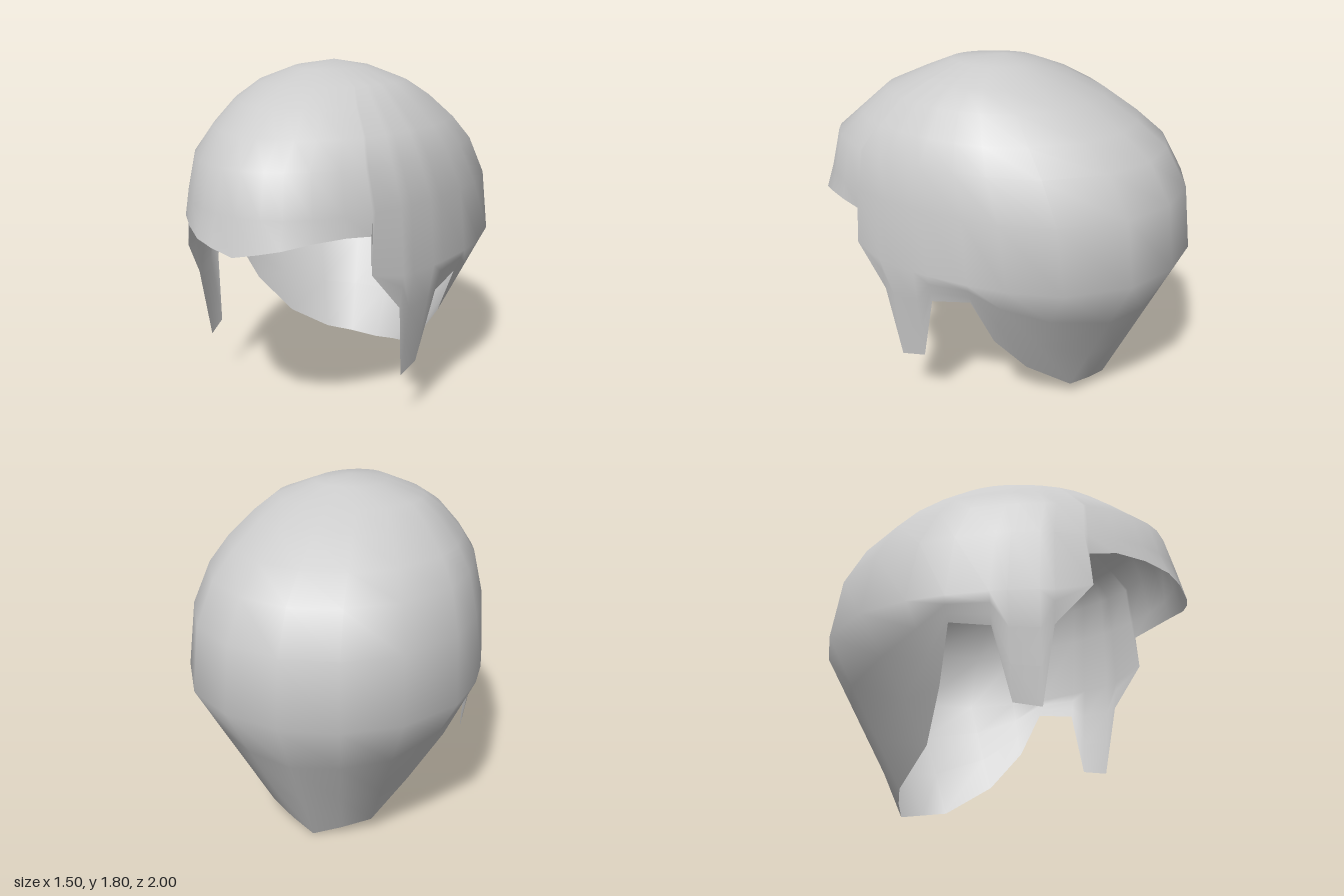
import * as THREE from 'three';
import { mergeVertices } from 'three/addons/utils/BufferGeometryUtils.js';

// Horizontal rings of the dome: height, front z, back z, half width, z of the widest point
const RINGS = [
  [1.77, 0.28, -0.17, 0.19, 0],
  [1.70, 0.45, -0.34, 0.38, -0.02],
  [1.62, 0.63, -0.52, 0.48, -0.05],
  [1.50, 0.77, -0.70, 0.59, -0.10],
  [1.38, 0.91, -0.85, 0.665, -0.15],
  [1.18, 0.96, -0.96, 0.725, -0.23],
  [0.85, 1.00, -1.00, 0.75, -0.28],
];

// Hem of the left half, front to back: x, y, z, angle of its column on the dome
const HEM = [
  [0, 1.005, 1.0, 0],
  [0.12, 1.03, 0.985, 9.5],
  [0.22, 1.05, 0.95, 17],
  [0.33, 1.075, 0.86, 26],
  [0.44, 1.085, 0.74, 36],
  [0.505, 1.07, 0.62, 44.5],
  [0.515, 0.89, 0.635, 45.5], // temple
  [0.585, 0.68, 0.46, 54],
  [0.57, 0.29, 0.39, 57.5], // sideburn tip
  [0.595, 0.32, 0.255, 65],
  [0.66, 0.69, 0.175, 69],
  [0.685, 0.73, -0.035, 79], // above the ear
  [0.575, 0.46, -0.12, 88],
  [0.42, 0.23, -0.25, 108],
  [0.28, 0.07, -0.46, 135],
  [0.14, 0.035, -0.535, 158],
  [0, 0, -0.59, 180], // nape
];

// Point of an elliptical ring, with different front and back radii
function ringPoint([y, front, back, width, mid], degrees) {
  const a = THREE.MathUtils.degToRad(degrees);
  const c = Math.cos(a);
  const depth = c > 0 ? front - mid : mid - back;
  return new THREE.Vector3(width * Math.sin(a), y, mid + depth * c);
}

// One strand of points from the crown down to the hem
function column([x, y, z, degrees]) {
  const hem = new THREE.Vector3(x, y, z);
  const points = [new THREE.Vector3(0, 1.8, 0)];
  for (const ring of RINGS) {
    points.push(ring[0] > y ? ringPoint(ring, degrees) : hem.clone());
  }
  const base = points[points.length - 1];
  for (const t of [1 / 3, 2 / 3, 1]) points.push(base.clone().lerp(hem, t));
  return points;
}

function shellGeometry() {
  const left = HEM.map(column);
  const right = left.slice(1, -1).reverse()
    .map((col) => col.map((p) => new THREE.Vector3(-p.x, p.y, p.z)));
  const columns = [...left, ...right];
  const rows = columns[0].length;
  const positions = columns.flat().flatMap((p) => [p.x, p.y, p.z]);
  const index = [];
  columns.forEach((_, i) => {
    const a = i * rows;
    const b = ((i + 1) % columns.length) * rows;
    for (let j = 0; j < rows - 1; j++) {
      index.push(a + j, a + j + 1, b + j + 1);
      if (j > 0) index.push(a + j, b + j + 1, b + j);
    }
  });
  const geometry = new THREE.BufferGeometry();
  geometry.setAttribute('position', new THREE.Float32BufferAttribute(positions, 3));
  geometry.setIndex(index);
  const welded = mergeVertices(geometry);
  welded.computeVertexNormals();
  return welded;
}

export function createModel() {
  const group = new THREE.Group();
  group.name = 'hair';
  // Thin open shell with sideburns and a pointed nape
  const material = new THREE.MeshStandardMaterial({ color: 0xcccccc, side: THREE.DoubleSide });
  const shell = new THREE.Mesh(shellGeometry(), material);
  shell.name = 'hairShell';
  group.add(shell);
  return group;
}
